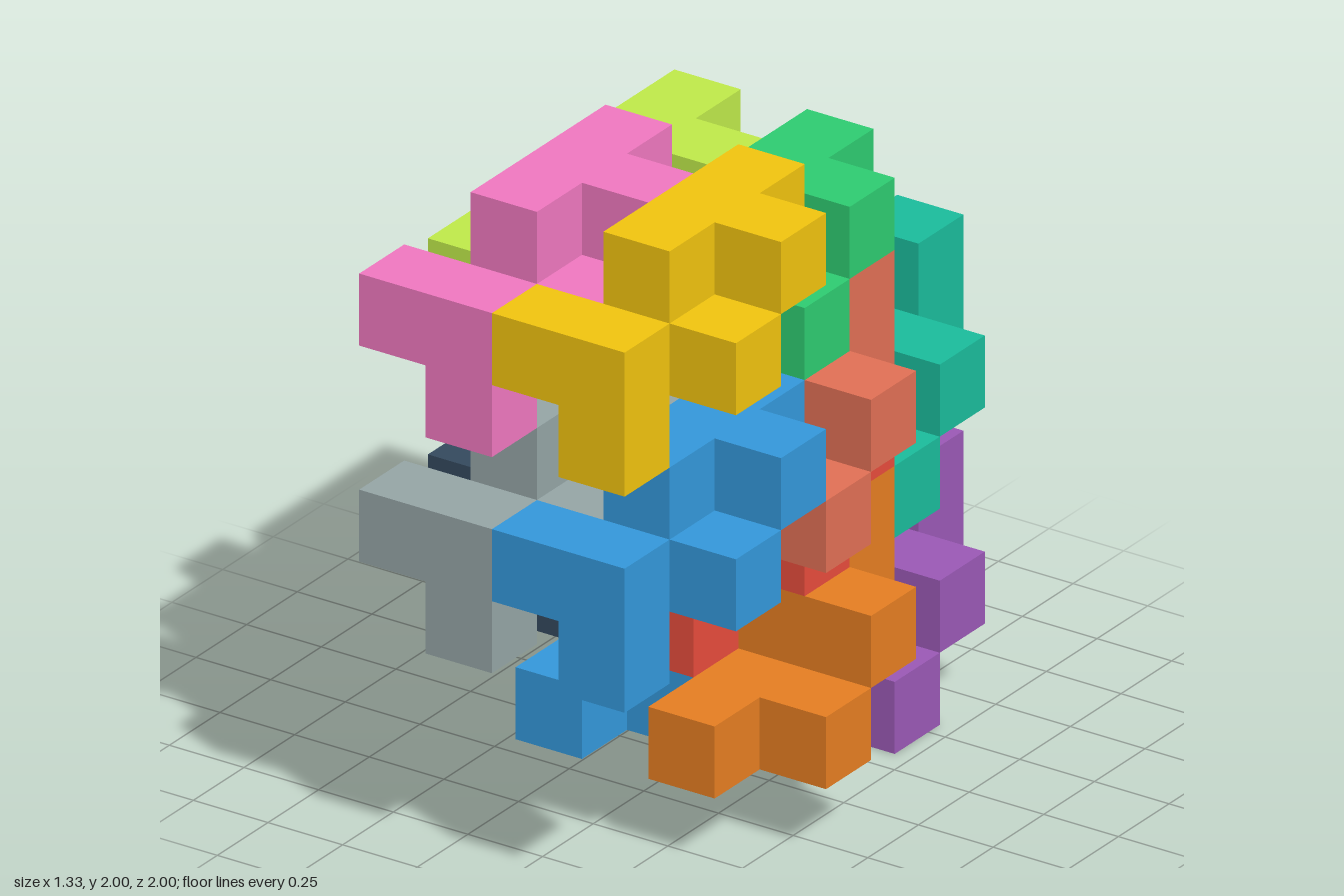
import * as THREE from 'three';
import { mergeGeometries } from 'three/addons/utils/BufferGeometryUtils.js';

const S = 2 / 9; // edge of one cube

// Nine cubes of one puzzle piece, relative to the middle of its T-shaped end
const CELLS = [
  [0, 0, -1], [0, 0, 0], [0, 0, 1], [1, 0, 0],
  [0, -1, 1], [1, -1, 1],
  [0, -1, 2], [-1, -1, 2], [0, -2, 2],
];
const DIRECTIONS = [[1, 0, 0], [-1, 0, 0], [0, 1, 0], [0, -1, 0], [0, 0, 1], [0, 0, -1]];

// Outer skin of a piece: one square for each cube side without a neighbour
function pieceGeometry() {
  const filled = new Set(CELLS.map(String));
  const faces = [];
  const forward = new THREE.Vector3(0, 0, 1);
  for (const cell of CELLS) {
    for (const dir of DIRECTIONS) {
      if (filled.has(String(cell.map((v, i) => v + dir[i])))) continue;
      const normal = new THREE.Vector3(...dir);
      const face = new THREE.PlaneGeometry(S, S);
      face.applyQuaternion(new THREE.Quaternion().setFromUnitVectors(forward, normal));
      const centre = new THREE.Vector3(...cell).addScaledVector(normal, 0.5).multiplyScalar(S);
      face.translate(centre.x, centre.y, centre.z);
      faces.push(face);
    }
  }
  return mergeGeometries(faces);
}

// Cube-grid position (column, layer, depth) and colour of each piece
const UPRIGHT = [
  ['yellowPiece', 4, 8, 6, 0xf1c40f],
  ['pinkPiece', 2, 8, 6, 0xf078c0],
  ['bluePiece', 4, 5, 6, 0x3498db],
  ['greyPiece', 2, 5, 6, 0x95a5a6],
  ['greenPiece', 3, 7, 3, 0x2ecc71],
  ['limePiece', 1, 7, 3, 0xbfea4a],
  ['redPiece', 3, 4, 3, 0xe74c3c],
  ['navyPiece', 1, 4, 3, 0x34495e],
];
const FLIPPED = [
  ['coralPiece', 4, 4, 5, 0xe17055],
  ['innerYellowPiece', 2, 4, 5, 0xf1c40f],
  ['orangePiece', 4, 1, 5, 0xe67e22],
  ['lowerBluePiece', 2, 1, 5, 0x3498db],
  ['tealPiece', 3, 3, 2, 0x1abc9c],
  ['rearGreenPiece', 1, 3, 2, 0x2ecc71],
  ['purplePiece', 3, 0, 2, 0x9b59b6],
  ['lowerRedPiece', 1, 0, 2, 0xe74c3c],
];

export function createModel() {
  const model = new THREE.Group();
  model.name = 'interlockingCubePuzzle';
  const upright = pieceGeometry();
  const flipped = upright.clone().rotateX(Math.PI); // same piece, turned over

  for (const [list, geometry] of [[UPRIGHT, upright], [FLIPPED, flipped]]) {
    for (const [name, i, j, k, color] of list) {
      const piece = new THREE.Mesh(geometry, new THREE.MeshStandardMaterial({ color }));
      piece.name = name;
      piece.position.set((i - 2.5) * S, (j + 0.5) * S, (k - 4) * S);
      model.add(piece);
    }
  }
  return model;
}
